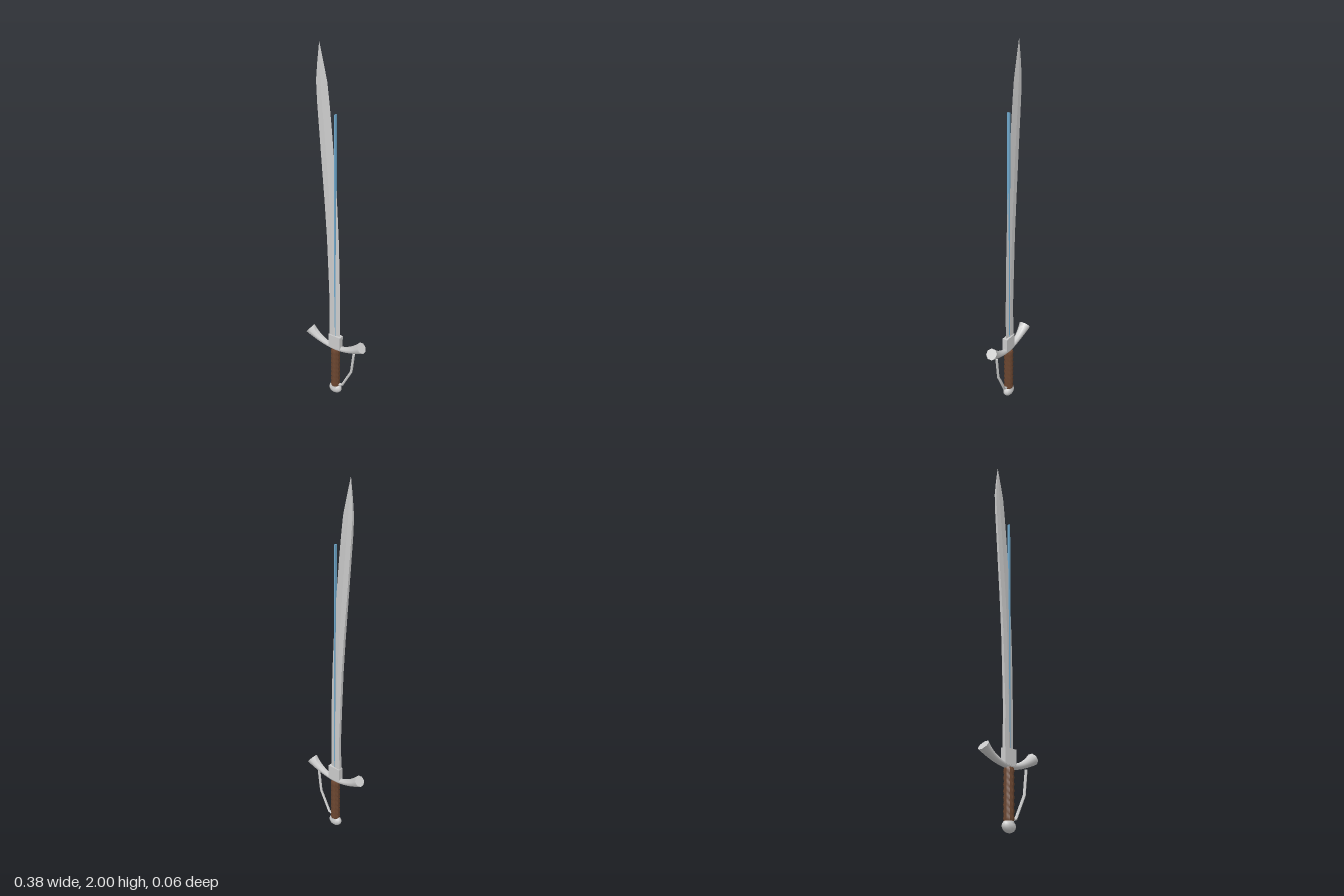
import * as THREE from 'three';
import { toCreasedNormals } from 'three/addons/utils/BufferGeometryUtils.js';

const V = (x, y, z = 0) => new THREE.Vector3(x, y, z);

// Skin a list of equal-sized rings (counter-clockwise about the path) and cap both ends.
function loft(rings, crease) {
  const n = rings[0].length, index = [];
  for (let i = 0; i < rings.length - 1; i++) {
    for (let j = 0; j < n; j++) {
      const k = (j + 1) % n;
      const a = i * n + j, b = i * n + k, c = b + n, d = a + n;
      index.push(a, b, c, a, c, d);
    }
  }
  const last = (rings.length - 1) * n;
  for (let j = 1; j < n - 1; j++) {
    index.push(0, j + 1, j, last, last + j, last + j + 1);
  }
  const geo = new THREE.BufferGeometry().setFromPoints(rings.flat());
  geo.setIndex(index);
  return toCreasedNormals(geo, crease);
}

// Round ring at a point of a path lying in the xy plane.
function ring(center, tangent, r, sides) {
  const normal = V(-tangent.y, tangent.x).normalize();
  return Array.from({ length: sides }, (_, j) => {
    const a = ((j + 0.5) / sides) * Math.PI * 2;
    return center.clone().addScaledVector(normal, Math.cos(a) * r).add(V(0, 0, Math.sin(a) * r));
  });
}

export function createModel() {
  const group = new THREE.Group();
  const steel = new THREE.MeshStandardMaterial({ color: 0xcccccc });
  const leather = new THREE.MeshStandardMaterial({ color: 0x6b4630 });
  const blue = new THREE.MeshStandardMaterial({ color: 0x6fa8cc });
  const add = (name, geo, mat) => {
    const mesh = new THREE.Mesh(geo, mat);
    mesh.name = name;
    group.add(mesh);
    return mesh;
  };

  // Curved blade: flat spine on -x, cutting edge on +x; [y, spine x, edge x, half thickness]
  const stations = [
    [0.36, -0.035, 0.029, 0.009], [0.6, -0.033, 0.029, 0.008], [0.8, -0.04, 0.026, 0.008],
    [1.0, -0.048, 0.02, 0.008], [1.2, -0.061, 0.01, 0.008], [1.4, -0.077, -0.005, 0.007],
    [1.6, -0.092, -0.022, 0.007], [1.72, -0.101, -0.034, 0.007], [1.82, -0.106, -0.046, 0.006],
    [1.91, -0.099, -0.067, 0.004], [2.0, -0.09, -0.089, 0.001],
  ];
  add('blade', loft(stations.map(([y, s, e, h]) => {
    const m = s + (e - s) * 0.42;
    return [V(e, y), V(m, y, -h), V(s, y, -h), V(s, y, h), V(m, y, h)];
  }), 0.15), steel);

  // Straight blue strip running up through the blade
  add('bladeStrip', new THREE.BoxGeometry(0.008, 1.28, 0.014), blue).position.y = 1.03;

  // Collar at the blade root
  add('collar', new THREE.BoxGeometry(0.076, 0.08, 0.03), steel).position.y = 0.358;

  // Upswept crossguard flaring towards both ends
  const guardRings = [];
  for (let i = 0; i <= 24; i++) {
    const t = i / 12 - 1, x = 0.17 * t;
    const r = 0.015 + 0.017 * Math.abs(t) ** 2.5;
    guardRings.push(ring(V(x, 0.315 + 2.25 * x * x), V(1, 4.5 * x), r, 8));
  }
  add('crossguard', loft(guardRings, 0.9), steel);

  // Grip with wrapped ridges
  const profile = [new THREE.Vector2(0, 0.05)];
  for (let i = 0; i <= 16; i++) {
    profile.push(new THREE.Vector2(i % 2 ? 0.027 : 0.0235, 0.052 + i * 0.0158));
  }
  profile.push(new THREE.Vector2(0, 0.305));
  add('grip', toCreasedNormals(new THREE.LatheGeometry(profile, 10), 0.5), leather);

  // Flattened pommel
  const pommel = add('pommel', new THREE.SphereGeometry(1, 12, 8), steel);
  pommel.scale.set(0.04, 0.031, 0.026);
  pommel.position.y = 0.031;
  add('pommelNeck', new THREE.CylinderGeometry(0.022, 0.026, 0.024, 10), steel).position.y = 0.053;

  // Knuckle bow of straight rod sections on the edge side
  const path = [V(0.02, 0.062), V(0.046, 0.07), V(0.106, 0.19), V(0.121, 0.318)];
  add('knuckleBow', loft(path.map((p, i) => {
    const before = path[Math.max(i - 1, 0)], after = path[Math.min(i + 1, path.length - 1)];
    return ring(p, after.clone().sub(before), 0.0075, 6);
  }), 0.5), steel);

  return group;
}
